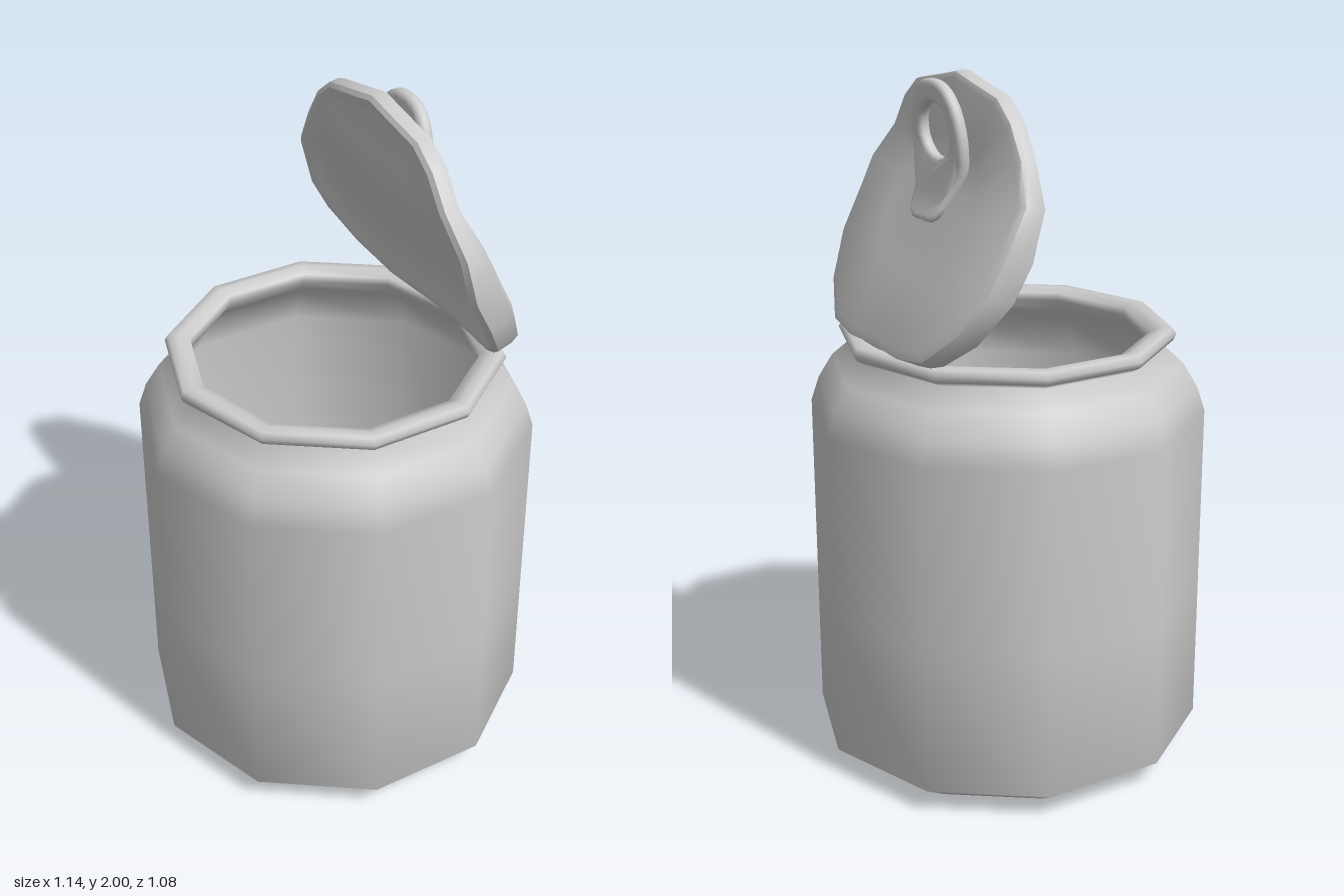
import * as THREE from 'three';
import { mergeVertices, toCreasedNormals } from 'three/addons/utils/BufferGeometryUtils.js';

const material = new THREE.MeshStandardMaterial({ color: 0xcccccc, side: THREE.DoubleSide });

function addMesh(parent, name, geometry) {
  const mesh = new THREE.Mesh(geometry, material);
  mesh.name = name;
  parent.add(mesh);
  return mesh;
}

// Bent outer face of the peeled lid: x for a given height
const bend = [[1.27, 0.435], [1.66, 0.23], [1.78, 0.172], [2.0, 0.165]];
function lidX(y) {
  let i = 0;
  while (i < bend.length - 2 && y > bend[i + 1][0]) i++;
  const [y0, x0] = bend[i], [y1, x1] = bend[i + 1];
  return x0 + (x1 - x0) * (y - y0) / (y1 - y0);
}

function lidGeometry() {
  // Wavy half outline as [z, y], mirrored to the other side
  const half = [[0, 2.0], [0.07, 1.985], [0.22, 1.955], [0.29, 1.9], [0.35, 1.81], [0.43, 1.71],
    [0.43, 1.6], [0.425, 1.5], [0.365, 1.38], [0.26, 1.29], [0.13, 1.27], [0, 1.275]];
  const outline = [...half, ...half.slice(1, -1).reverse().map(([z, y]) => [-z, y])];
  // Rings from the outer face, round the edge, to the recessed underside: [scale, depth]
  const rings = [[0, 0], [0.5, 0], [0.94, 0], [0.99, 0.12], [1, 0.4], [0.99, 0.85],
    [0.95, 1], [0.9, 0.9], [0.82, 0.6], [0.45, 0.45], [0, 0.4]];
  const centerY = 1.68, n = outline.length;
  const positions = [], index = [];
  rings.forEach(([scale, depth], k) => {
    outline.forEach(([oz, oy], i) => {
      const z = oz * scale, y = centerY + (oy - centerY) * scale;
      const upper = THREE.MathUtils.smoothstep(y, 1.6, 1.8);
      const thick = depth * (0.06 + 0.05 * (z / 0.43) ** 2 * (1 - upper));
      positions.push(lidX(y) - thick * (0.885 + 0.115 * upper), y - thick * 0.465 * (1 - upper), z);
      if (k === rings.length - 1) return;
      const a = k * n + i, b = k * n + (i + 1) % n;
      if (k > 0) index.push(a, b + n, b);
      if (k < rings.length - 2) index.push(a, a + n, b + n);
      else index.push(a, a + n, b);
      if (k === rings.length - 2) index.splice(-6, 3);
    });
  });
  const geometry = new THREE.BufferGeometry();
  geometry.setAttribute('position', new THREE.Float32BufferAttribute(positions, 3));
  geometry.setIndex(index);
  return toCreasedNormals(mergeVertices(geometry), 0.8);
}

function tabGeometry() {
  // Teardrop plate with an oval finger hole
  const inset = 0.016;
  const side = [[0.06, 1.61], [0.09, 1.67], [0.125, 1.76], [0.133, 1.84], [0.11, 1.92], [0.06, 1.97]];
  const points = [[0, 1.605], ...side, [0, 1.982], ...side.slice().reverse().map(([x, y]) => [-x, y])]
    .map(([x, y]) => new THREE.Vector3(x * 0.88, 1.8 + (y - 1.8) * (1 - inset / 0.19), 0));
  const curve = new THREE.CatmullRomCurve3(points, true);
  const shape = new THREE.Shape(curve.getPoints(36).slice(0, -1).map(p => new THREE.Vector2(p.x, p.y)));
  const hole = new THREE.Path();
  hole.absellipse(0, 1.845, 0.08 + inset, 0.075 + inset, 0, Math.PI * 2, true);
  shape.holes.push(hole);
  let geometry = new THREE.ExtrudeGeometry(shape, {
    depth: 0.008, bevelThickness: 0.015, bevelSize: inset, bevelSegments: 3, curveSegments: 10,
  });
  geometry.translate(0, 0, -0.004);
  geometry.rotateY(Math.PI / 2);
  // Lean away from the lid at the top, lie on it at the foot
  const p = geometry.attributes.position;
  for (let i = 0; i < p.count; i++) {
    const y = p.getY(i);
    const lean = 0.196 + (y - 1.7) * 0.1;
    p.setX(i, p.getX(i) + Math.max(lean, lidX(y) + 0.002));
  }
  geometry.deleteAttribute('uv');
  geometry.deleteAttribute('normal');
  geometry = mergeVertices(geometry, 1e-4);
  geometry.computeVertexNormals();
  return geometry;
}

export function createModel() {
  const group = new THREE.Group();
  group.name = 'openCan';

  // Ten-sided can: base, wall, shoulder, rolled rim, then the hollow inside
  const profile = [
    [0, 0], [0.46, 0], [0.57, 0.07], [0.57, 0.5], [0.57, 1.03], [0.547, 1.1], [0.505, 1.17],
    [0.447, 1.22], [0.475, 1.237], [0.483, 1.255], [0.473, 1.272], [0.445, 1.275], [0.41, 1.262],
    [0.405, 1.24], [0.435, 1.2], [0.49, 1.15], [0.55, 1.03], [0.55, 0.09], [0.45, 0.025], [0, 0.025],
  ].map(([r, y]) => new THREE.Vector2(r, y));
  const body = new THREE.LatheGeometry(profile, 10);
  body.rotateY(Math.PI / 2);
  addMesh(group, 'canBody', body);

  // Peeled-back lid and its pull tab
  const lid = new THREE.Group();
  lid.name = 'lid';
  group.add(lid);
  addMesh(lid, 'lidPanel', lidGeometry());
  addMesh(lid, 'pullTab', tabGeometry());

  return group;
}
